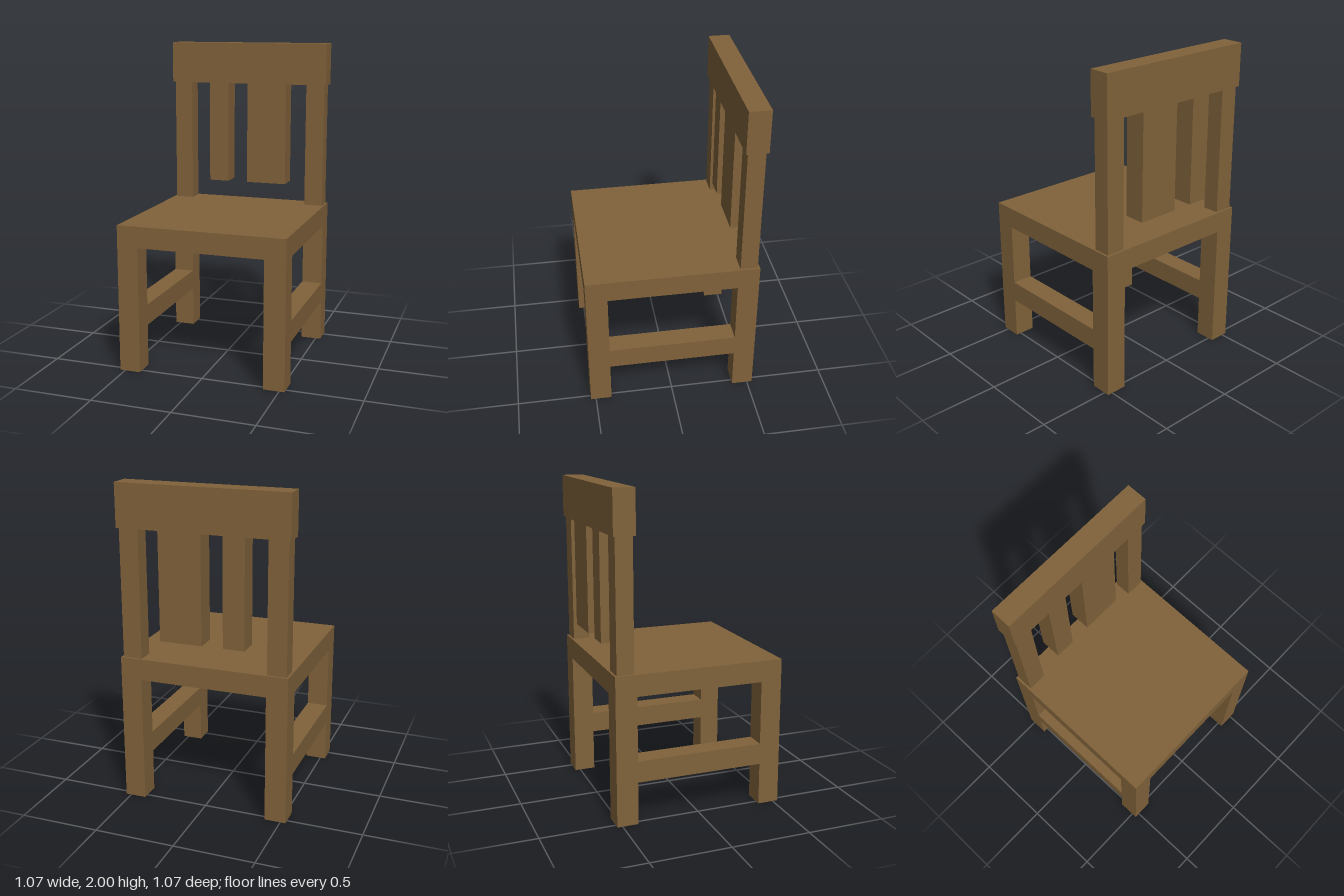
import * as THREE from 'three';

const U = 2 / 15; // the chair is laid out on a grid 8 wide, 15 high and 8 deep

export function createModel() {
  const chair = new THREE.Group();
  chair.name = 'chair';
  const wood = new THREE.MeshStandardMaterial({ color: 0x80623a });
  wood.name = 'brown wood';

  // Box spanning two corners, given in grid units
  function block(name, [x0, y0, z0], [x1, y1, z1]) {
    const geometry = new THREE.BoxGeometry((x1 - x0) * U, (y1 - y0) * U, (z1 - z0) * U);
    const mesh = new THREE.Mesh(geometry, wood);
    mesh.name = name;
    mesh.position.set((x0 + x1) / 2 * U, (y0 + y1) / 2 * U, (z0 + z1) / 2 * U);
    chair.add(mesh);
  }

  block('seat', [-4, 6, -4], [4, 7, 4]);

  // Legs, side stretchers and back posts, mirrored left and right
  for (const [side, x] of [['right', -4], ['left', 3]]) {
    block(side + 'FrontLeg', [x, 0, 3], [x + 1, 6, 4]);
    block(side + 'BackLeg', [x, 0, -4], [x + 1, 6, -3]);
    block(side + 'Stretcher', [x, 2, -3], [x + 1, 3, 3]);
    // Posts are slightly slimmer than the legs, flush on the inner side
    const [a, b] = x < 0 ? [-3.9, -3] : [3, 3.9];
    block(side + 'BackPost', [a, 7, -3.9], [b, 13, -3.1]);
  }

  // Backrest rail with a narrow and a wide slat hanging from it
  block('topRail', [-4, 13, -4], [4, 15, -3]);
  block('narrowSlat', [-2, 8, -4], [-1, 13, -3]);
  block('wideSlat', [0, 8, -4], [2, 13, -3]);

  return chair;
}
